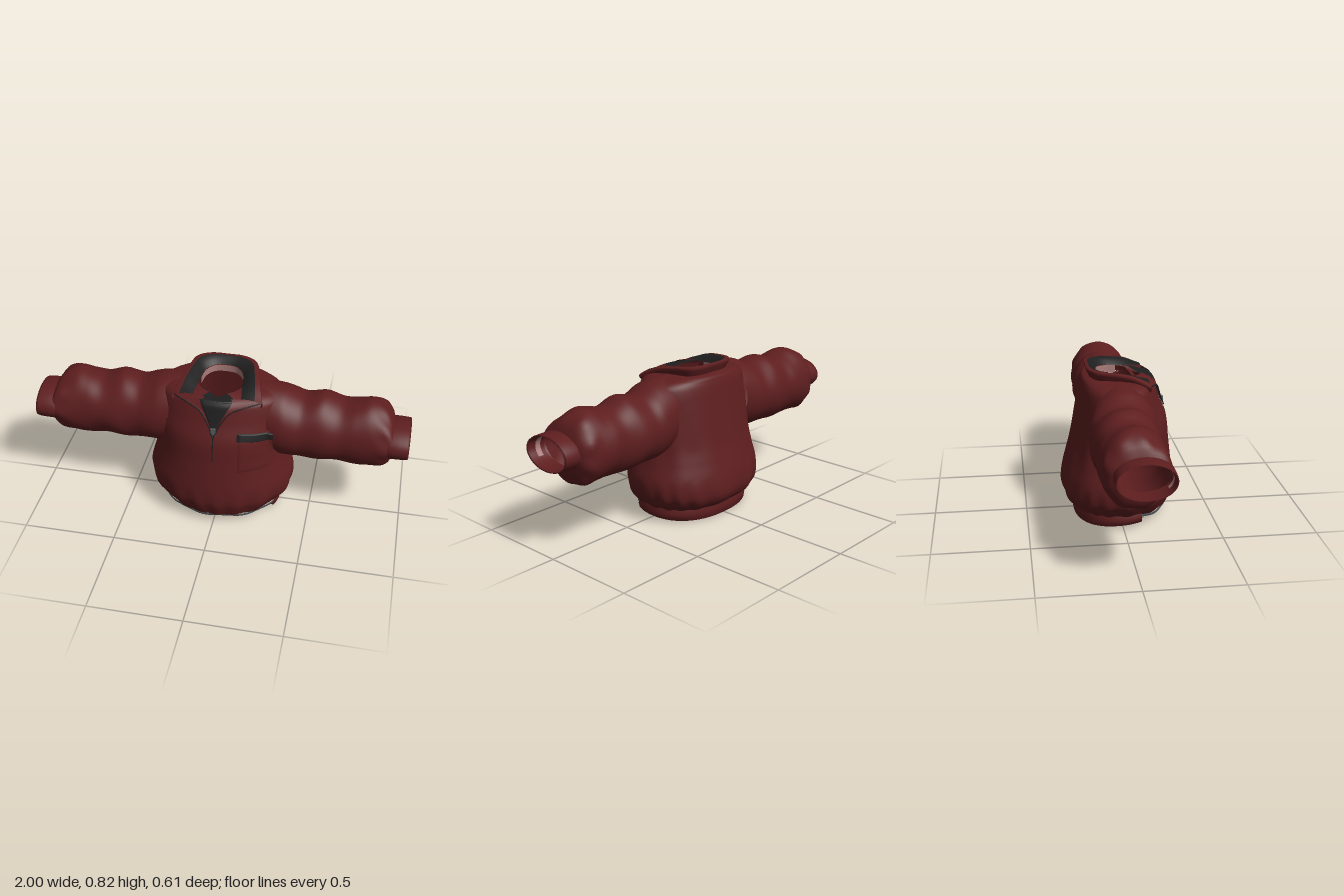
import * as THREE from 'three';

const mat = (name, color) => {
  const m = new THREE.MeshStandardMaterial({ color, side: THREE.DoubleSide });
  m.name = name;
  return m;
};

// Smooth lookup in a table of rows [key, a, b, ...]
function sample(keys, v) {
  let i = 0;
  while (i < keys.length - 2 && v > keys[i + 1][0]) i++;
  const p = keys[i], q = keys[i + 1];
  const o = keys[Math.max(i - 1, 0)], r = keys[Math.min(i + 2, keys.length - 1)];
  const h = q[0] - p[0], t = THREE.MathUtils.clamp((v - p[0]) / h, 0, 1);
  return p.slice(1).map((a, k) => {
    const b = q[k + 1];
    const m0 = (b - o[k + 1]) / (q[0] - o[0]) * h, m1 = (r[k + 1] - a) / (r[0] - p[0]) * h;
    const t2 = t * t, t3 = t2 * t;
    return (2 * t3 - 3 * t2 + 1) * a + (t3 - 2 * t2 + t) * m0 + (3 * t2 - 2 * t3) * b + (t3 - t2) * m1;
  });
}

// Surface through rows of points; cut() leaves a face out
function loft(rows, closed = false, cut = () => false) {
  const n = rows[0].length, pos = rows.flat().flatMap(p => [p.x, p.y, p.z]), index = [];
  for (let i = 0; i < rows.length - 1; i++)
    for (let j = 0; j < (closed ? n : n - 1); j++) {
      if (cut(rows[i][j])) continue;
      const a = i * n + j, b = i * n + (j + 1) % n, c = a + n, d = b + n;
      index.push(a, b, d, a, d, c);
    }
  const g = new THREE.BufferGeometry();
  g.setAttribute('position', new THREE.Float32BufferAttribute(pos, 3));
  g.setIndex(index);
  g.computeVertexNormals();
  return g;
}

const V = (x, y, z) => new THREE.Vector3(x, y, z);
const range = (n, f) => Array.from({ length: n + 1 }, (_, i) => f(i / n, i));
const power = (v, e) => Math.sign(v) * Math.abs(v) ** e;
const lerp = THREE.MathUtils.lerp;
const FRONT = 2, BACK = 2.3; // roundness of the chest and of the back

// Torso: height, half width, front depth, back depth
const BODY = [
  [0.075, 0.32, 0.275, 0.24], [0.11, 0.35, 0.288, 0.28], [0.16, 0.385, 0.302, 0.30],
  [0.24, 0.395, 0.302, 0.295], [0.34, 0.37, 0.292, 0.27], [0.42, 0.355, 0.283, 0.25],
  [0.55, 0.35, 0.268, 0.228], [0.65, 0.345, 0.23, 0.212], [0.72, 0.335, 0.208, 0.20],
  [0.755, 0.31, 0.196, 0.19], [0.78, 0.235, 0.172, 0.175], [0.79, 0.13, 0.14, 0.12]];

// Sleeve: x, centre y, centre z, half height, half depth
const SLEEVE = [
  [0.17, 0.60, -0.005, 0.187, 0.14], [0.25, 0.59, -0.005, 0.193, 0.164],
  [0.33, 0.575, -0.005, 0.197, 0.176], [0.38, 0.563, -0.01, 0.189, 0.178],
  [0.44, 0.553, -0.012, 0.18, 0.172], [0.54, 0.558, -0.015, 0.19, 0.178], [0.64, 0.546, -0.012, 0.176, 0.165],
  [0.72, 0.55, -0.012, 0.182, 0.17], [0.79, 0.555, -0.01, 0.188, 0.168], [0.86, 0.547, -0.008, 0.175, 0.165],
  [0.9, 0.548, 0.005, 0.135, 0.15], [0.915, 0.555, 0.018, 0.088, 0.135]];

const CUFF = [
  [0.885, 0.555, 0.018, 0.088, 0.138], [0.905, 0.555, 0.018, 0.094, 0.146], [0.95, 0.555, 0.018, 0.093, 0.146],
  [0.99, 0.555, 0.018, 0.091, 0.144], [1.0, 0.555, 0.018, 0.088, 0.141], [0.99, 0.555, 0.018, 0.085, 0.137],
  [0.9, 0.555, 0.018, 0.083, 0.133]];

function bodyPoint(a, y) {
  const [w, f, b] = sample(BODY, y), s = Math.sin(a), c = Math.cos(a), e = 2 / (c > 0 ? FRONT : BACK);
  const low = Math.max(0, 1 - Math.abs(y - 0.13) / 0.14);
  const back = Math.max(0, -c) * Math.max(0, 1 - Math.abs(y - 0.4) / 0.28);
  const k = 1 + 0.02 * low * Math.sin(17 * a + 2 * Math.sin(3 * a)) + 0.015 * back * Math.sin(11 * a + 5 * y);
  return V(k * w * power(s, e), y, k * (c > 0 ? f : b) * power(c, e));
}

// Front surface of the torso, or of the sleeve where that stands further out
function frontZ(x, y) {
  const [w, f] = sample(BODY, y), [cy, cz, ry, rz] = sample(SLEEVE, Math.abs(x));
  const body = f * Math.sqrt(Math.max(0, 1 - (x / w) ** 2));
  const sleeve = cz + rz * Math.sqrt(Math.max(0, 1 - ((y - cy) / ry) ** 2));
  return Math.abs(x) > 0.17 ? Math.max(body, sleeve) : body;
}

// Thin panel lying on the chest between two edges, optionally slanted
function chestPanel(left, right, y0, y1, lift, slant = 0) {
  return loft(range(14, (v, i) => range(14, (u, j) => {
    const level = lerp(y0, y1, v), x = lerp(left(level), right(level), u), y = level - slant * u;
    const rim = i === 0 || i === 14 || j === 0 || j === 14;
    return V(x, y, frontZ(x, y) + (rim ? lift * 0.3 : lift));
  })));
}

function sideTube(sections, side, pucker) {
  const rows = sections.map(([x, cy, cz, ry, rz]) => range(55, u => {
    const a = u * Math.PI * 2 * 55 / 56;
    const k = pucker ? 1 + 0.02 * Math.sin(3 * a + 26 * x) * THREE.MathUtils.clamp((x - 0.33) * 5, 0, 1)
      + 0.03 * Math.max(0, 1 - Math.abs(x - 0.87) / 0.06) * Math.sin(9 * a) : 1;
    return V(side * x, cy + k * ry * Math.cos(a), cz + k * rz * Math.sin(a));
  }));
  // The underarm is open where it passes inside the torso
  return loft(side < 0 ? rows.reverse() : rows, true, p => Math.abs(p.x) < 0.28 && p.y < 0.62);
}

// Open path mirrored from back centre to both front ends
function mirroredPath(points) {
  const half = points.map(p => V(...p));
  const other = half.slice(1).reverse().map(p => V(-p.x, p.y, p.z));
  return new THREE.CatmullRomCurve3([...other, ...half]).getPoints(60);
}

export function createModel() {
  const model = new THREE.Group();
  model.name = 'pullover';
  const red = mat('maroon fabric', 0x5e1e1f), black = mat('black lining', 0x1f1f1f);
  const grey = mat('grey metal', 0x5c6064), pink = mat('pale tape', 0xa87c7a);
  const add = (name, geometry, material) => {
    const m = new THREE.Mesh(geometry, material);
    m.name = name;
    model.add(m);
    return m;
  };

  // Torso with armholes and the front of the neck left open
  const around = range(95, u => u * Math.PI * 2 * 95 / 96);
  const isOpen = p => (Math.abs(p.x) > 0.25 && ((p.y - 0.56) / 0.145) ** 2 + (p.z / 0.13) ** 2 < 1)
    || (p.y > 0.766 && p.z > 0.05 && Math.abs(p.x) < 0.085);
  add('torso', loft(range(70, v => around.map(a => bodyPoint(a, 0.075 + 0.715 * v))), true, isOpen), red);

  // Hem band around the sides and back, rising towards the front
  const band = (a, k, y) => {
    const s = Math.sin(a), c = Math.cos(a), e = 2 / (c > 0 ? FRONT : BACK);
    return V(k * 0.33 * power(s, e), y, k * (c > 0 ? 0.275 : 0.24) * power(c, e));
  };
  const hemAngles = range(70, u => lerp(1.2, Math.PI * 2 - 1.2, u));
  const hemBottom = a => 0.034 + 0.02 * Math.cos(a);
  add('hemBand', loft([[0.94, 0.01], [1, 0], [1.02, 0.5], [0.99, 1]].map(([k, t]) =>
    hemAngles.map(a => band(a, k, lerp(hemBottom(a), 0.095, t))))), red);
  const frontAngles = range(40, u => lerp(-1.25, 1.25, u));
  add('hemDrawcord', loft([[0.96, 0], [0.99, 0.002], [0.99, 0.016]].map(([k, dy]) => frontAngles.map(a =>
    band(a, k, 0.061 + 0.005 * Math.sin(9 * a) + dy)))), grey);

  // Sleeves, reaching in over the shoulders, and cuffs with a pale tape inside
  for (const side of [1, -1]) {
    const label = side > 0 ? 'left' : 'right';
    const sections = range(60, u => {
      const x = 0.17 + 0.745 * u;
      return [x, ...sample(SLEEVE, x)];
    });
    add(label + 'Sleeve', sideTube(sections, side, true), red);
    add(label + 'Cuff', sideTube(CUFF, side, false), red);
    add(label + 'CuffTape', loft([0.925, 0.955].map(x => range(10, u => {
      const a = lerp(0.9, 2.2, u);
      return V(side * x, 0.555 + 0.081 * Math.cos(a), 0.018 + 0.13 * Math.sin(a));
    }))), pink);
  }

  // Open collar: black lining inside, maroon border and underside
  const inner = mirroredPath([[0, 0.802, -0.112], [0.06, 0.802, -0.1], [0.098, 0.798, -0.06],
    [0.112, 0.792, 0.01], [0.11, 0.785, 0.07], [0.092, 0.772, 0.15]]);
  const outer = mirroredPath([[0, 0.838, -0.165], [0.09, 0.837, -0.162], [0.158, 0.834, -0.125],
    [0.187, 0.826, -0.03], [0.208, 0.81, 0.06], [0.235, 0.765, 0.155]]);
  const between = t => inner.map((p, i) => p.clone().lerp(outer[i], t).add(V(0, 0.012 * Math.sin(Math.PI * t), 0)));
  const shifted = (k, dy) => outer.map(p => V(p.x * k, p.y + dy, p.z * k));
  add('collarLining', loft([0, 0.25, 0.5, 0.74].map(between)), black);
  add('collarBorder', loft([between(0.74), outer, shifted(1.02, -0.008), shifted(1, -0.02), shifted(0.92, -0.05)]), red);
  add('neckTape', loft([-0.04, -0.002].map(dy =>
    inner.slice(12, 49).map(p => V(p.x * 0.98, p.y + dy, p.z * 0.98)))), pink);

  // Open zip placket, its facing inside the neck, and lapels
  const vWidth = y => 0.088 * Math.max(0, (y - 0.59) / 0.185) ** 1.2;
  add('placketLining', chestPanel(y => -vWidth(y), vWidth, 0.59, 0.772, 0.006), black);
  add('neckFacing', loft([
    range(20, u => V(0.1 - 0.2 * u, 0.768, frontZ(0.1 - 0.2 * u, 0.768) + 0.004)),
    range(20, u => V(0.11 - 0.22 * u, 0.765 + 0.02 * Math.abs(2 * u - 1), 0.135 - 0.06 * Math.abs(2 * u - 1)))
  ].reverse().map(row => row.reverse())), black);
  for (const side of [1, -1]) {
    const label = side > 0 ? 'left' : 'right';
    const outline = new THREE.SplineCurve([[0.235, 0.76], [0.15, 0.75], [0.08, 0.722], [0.034, 0.66], [0.004, 0.595]]
      .map(p => new THREE.Vector2(...p)));
    const edge = outline.getPoints(30).map((p, i) =>
      V(side * p.x, p.y, frontZ(p.x, p.y) + 0.007 + 0.008 * (1 - i / 30)));
    const fold = range(30, u => {
      const y = lerp(0.772, 0.595, u), x = vWidth(y);
      return V(side * x, y, frontZ(x, y) + 0.008);
    });
    add(label + 'Lapel', loft(side > 0 ? [edge, fold] : [fold, edge]), red);
    add(label + 'LapelPiping', new THREE.TubeGeometry(new THREE.CatmullRomCurve3(edge), 40, 0.0035, 6), black);
  }
  add('zipSlit', chestPanel(() => -0.003, () => 0.003, 0.45, 0.6, 0.003), black);
  add('zipPull', new THREE.BoxGeometry(0.026, 0.045, 0.01), grey).position.set(0, 0.62, frontZ(0, 0.62) + 0.008);

  // Chest pocket on the wearer's left with a slanted black patch above
  add('chestPocket', chestPanel(() => 0.13, () => 0.3, 0.385, 0.59, 0.007), red);
  add('pocketPatch', chestPanel(() => 0.122, () => 0.302, 0.575, 0.617, 0.012, 0.022), black);

  return model;
}
